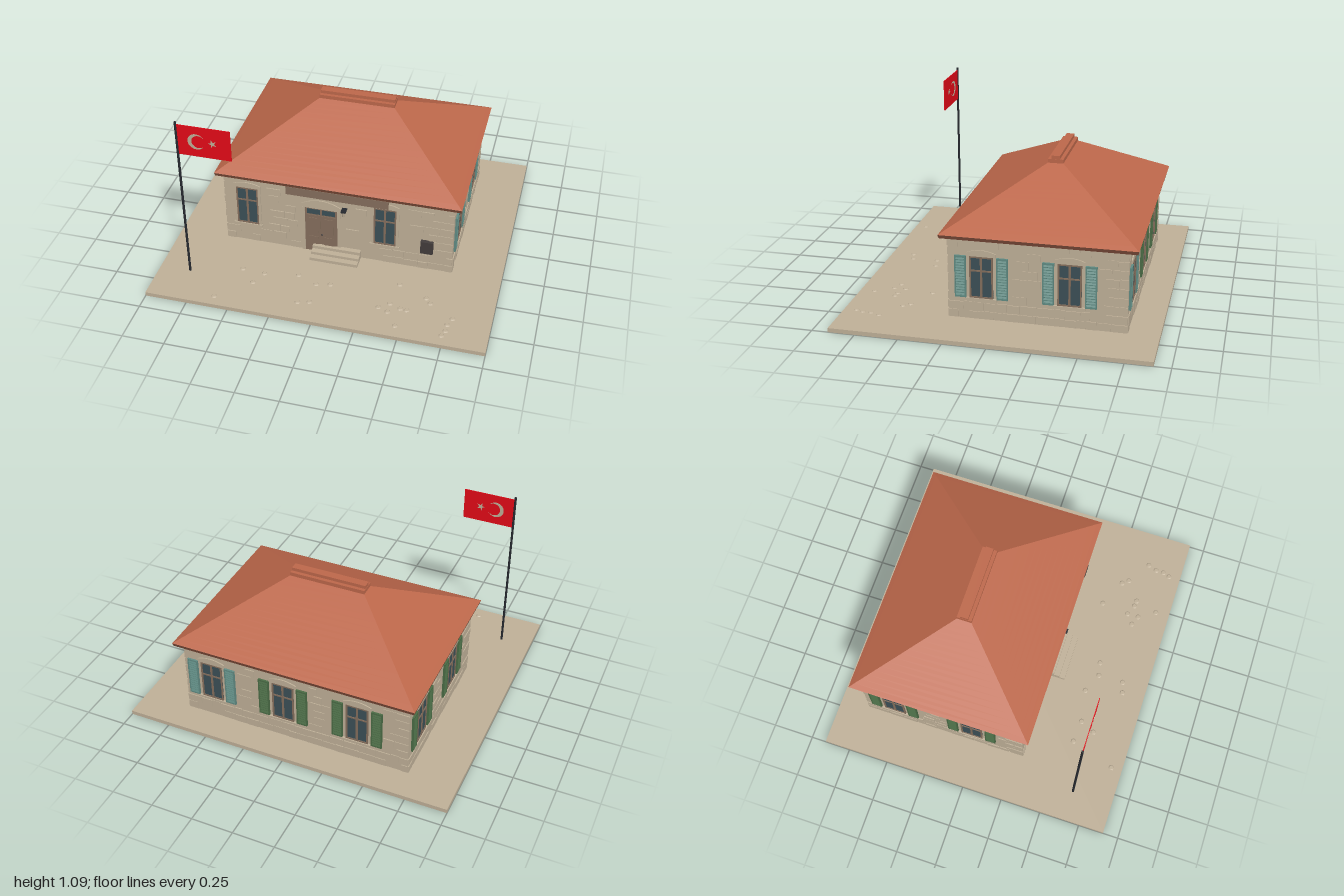
import * as THREE from 'three';
import { mergeGeometries } from 'three/addons/utils/BufferGeometryUtils.js';

const mat = (name, color) => Object.assign(new THREE.MeshStandardMaterial({ color }), { name });

export function createModel() {
  const stone = mat('stone', 0xbeaf97), tile = mat('roofTile', 0xbc674a), fascia = mat('fascia', 0x7a4a38);
  const wood = mat('wood', 0x846e5c), glass = mat('glass', 0x3b4f56), teal = mat('tealPaint', 0x608b83);
  const green = mat('greenPaint', 0x4a6b45), dark = mat('darkMetal', 0x423c3b);
  const iron = mat('poleMetal', 0x25282e), red = mat('flagRed', 0xe30a17);
  const model = new THREE.Group();

  let seed = 7;
  const rand = (a, b) => {
    seed = (seed * 16807) % 2147483647;
    return a + (b - a) * seed / 2147483647;
  };
  const add = (parent, name, geo, material, x = 0, y = 0, z = 0) => {
    const m = new THREE.Mesh(geo, material);
    m.name = name;
    m.position.set(x, y, z);
    parent.add(m);
    return m;
  };
  // Box given by its limits on each axis
  const boxGeo = (x0, x1, y0, y1, z0, z1) =>
    new THREE.BoxGeometry(x1 - x0, y1 - y0, z1 - z0).translate((x0 + x1) / 2, (y0 + y1) / 2, (z0 + z1) / 2);
  const box = (parent, name, material, ...b) => add(parent, name, boxGeo(...b), material);
  const extrude = (shape, depth) =>
    new THREE.ExtrudeGeometry(shape, { depth, bevelEnabled: false, curveSegments: 16 });
  // Box tapering from a lower to an upper rectangle, standing on its base
  const frustum = (w0, d0, w1, d1, h) => {
    const g = new THREE.BoxGeometry(w0, h, d0).translate(0, h / 2, 0), p = g.attributes.position;
    for (let i = 0; i < p.count; i++)
      if (p.getY(i) > h / 2) p.setXYZ(i, p.getX(i) * w1 / w0, h, p.getZ(i) * d1 / d0);
    g.computeVertexNormals();
    return g;
  };

  // Ground slab and wall core
  const zc = -0.2175;
  box(model, 'ground', stone, -1, 1, 0, 0.025, -0.905, 0.905);
  box(model, 'walls', stone, -0.7, 0.7, 0.025, 0.512, -0.725, 0.29);
  const pebbles = [];
  for (let i = 0; i < 22; i++) {
    const x = rand(-0.6, 0.87), z = rand(0.45, 0.87);
    pebbles.push(new THREE.CylinderGeometry(0.012, 0.018, 0.005, 7).translate(x, 0.0275, z));
  }
  add(model, 'groundPebbles', mergeGeometries(pebbles), stone);

  // One wall face: local x along the wall, z outward
  const face = (name, x, z, turn) => {
    const g = new THREE.Group();
    g.name = name;
    g.position.set(x, 0, z);
    g.rotation.y = turn;
    model.add(g);
    return g;
  };

  // Coursed stones that leave the openings [x0, x1, y0, y1] free
  const masonry = (parent, width, openings, density) => {
    const parts = [], h = 0.482 / 9;
    for (let row = 0; row < 9; row++) {
      const y0 = 0.027 + row * h, y1 = y0 + h - 0.005;
      let x = -width / 2;
      while (x < width / 2 - 0.01) {
        const edge = x === -width / 2;
        let w = edge ? (row % 2 ? 0.09 : 0.06) : rand(0.05, 0.1);
        if (x + w > width / 2 - 0.035) w = width / 2 - x;
        const end = x + w >= width / 2 - 1e-6, x0 = x, x1 = x + w - (end ? 0 : 0.005);
        const blocked = openings.some(o => x1 > o[0] && x0 < o[1] && y1 > o[2] && y0 < o[3]);
        const keep = rand(0, 1) < density, depth = rand(0.003, 0.007);
        if (!blocked && (keep || edge || end))
          parts.push(boxGeo(x0, x1, y0, y1 - rand(0, 0.006), -0.005, depth));
        x += w;
      }
    }
    add(parent, 'wallStones', mergeGeometries(parts), stone);
  };

  // Low arched stone head over an opening
  const archHead = (parent, cx, w, y, side, rise) => {
    const s = new THREE.Shape();
    s.moveTo(-w / 2, 0);
    s.lineTo(w / 2, 0);
    s.lineTo(w / 2, side);
    s.quadraticCurveTo(0, side + rise * 2, -w / 2, side);
    add(parent, 'archHead', extrude(s, 0.007), stone, cx, y, 0);
  };

  const windowUnit = (parent, cx, y0, y1, paint) => {
    const g = new THREE.Group(), w = 0.0675, t = 0.009;
    g.name = 'window';
    g.position.x = cx;
    parent.add(g);
    box(g, 'windowGlass', glass, -w, w, y0, y1, -0.002, 0.003);
    for (const s of [-1, 1]) box(g, 'windowJamb', wood, s * w - (s > 0 ? t : 0), s * w + (s > 0 ? 0 : t), y0, y1, 0, 0.008);
    box(g, 'windowMullion', wood, -0.006, 0.006, y0, y1, 0, 0.008);
    const mid = y0 + (y1 - y0) * 0.64;
    for (const y of [y0, mid, y1 - t]) box(g, 'windowRail', wood, -w, w, y, y + t, 0, 0.0075);
    box(g, 'windowSill', stone, -0.09, 0.09, y0 - 0.014, y0, 0, 0.014);
    archHead(g, 0, 0.17, y1, 0.02, 0.018);
    if (!paint) {
      for (const s of [-1, 1]) box(g, 'windowSurround', stone, s * 0.076 - 0.0085, s * 0.076 + 0.0085, y0, y1, 0, 0.007);
      return;
    }
    // Louvred shutters folded open on both sides
    for (const s of [-1, 1]) {
      const sh = new THREE.Group();
      sh.name = 'shutter';
      sh.position.x = s * 0.12;
      g.add(sh);
      box(sh, 'shutterPanel', paint, -0.0325, 0.0325, y0, y1, 0, 0.007);
      for (const e of [-1, 1]) {
        box(sh, 'shutterStile', paint, e * 0.029 - 0.0035, e * 0.029 + 0.0035, y0, y1, 0, 0.012);
        const ry = e < 0 ? y0 : y1 - 0.01;
        box(sh, 'shutterRail', paint, -0.0325, 0.0325, ry, ry + 0.01, 0, 0.0118);
      }
      const slats = [];
      for (let i = 0; i < 14; i++)
        slats.push(new THREE.BoxGeometry(0.052, 0.012, 0.003).rotateX(-0.45)
          .translate(0, y0 + 0.018 + i * (y1 - y0 - 0.036) / 13, 0.0075));
      add(sh, 'shutterSlats', mergeGeometries(slats), paint);
    }
  };

  // Side and back faces with shuttered windows
  const shuttered = (g, width, windows) => {
    for (const [cx, paint] of windows) windowUnit(g, cx, 0.155, 0.405, paint);
    masonry(g, width, windows.map(([cx]) => [cx - 0.155, cx + 0.155, 0.14, 0.44]), 0.85);
  };
  shuttered(face('leftWall', 0.7, zc, Math.PI / 2), 1.015, [[-0.3175, teal], [0.1825, teal]]);
  shuttered(face('rightWall', -0.7, zc, -Math.PI / 2), 1.015, [[-0.3175, green], [0.1825, green]]);
  shuttered(face('backWall', 0, -0.725, Math.PI), 1.4, [[-0.53, teal], [-0.07, green], [0.39, green]]);

  // Front face
  const front = face('frontWall', 0, 0.29, 0);
  for (const cx of [-0.56, 0.29]) windowUnit(front, cx, 0.16, 0.425);
  masonry(front, 1.4, [[-0.655, -0.465, 0.145, 0.46], [0.195, 0.385, 0.145, 0.46],
    [-0.225, 0.02, 0, 0.42], [-0.315, 0.31, 0.43, 0.485]], 0.6);

  // Double door with glazed transom and stone surround
  const door = new THREE.Group();
  door.name = 'door';
  door.position.x = -0.1;
  front.add(door);
  box(door, 'doorFrame', wood, -0.1, 0.1, 0.025, 0.35, 0, 0.004);
  for (const s of [-1, 1]) {
    const c = s * 0.047;
    box(door, 'doorLeaf', wood, c - 0.044, c + 0.044, 0.03, 0.3, 0, 0.007);
    for (const [a, b] of [[0.05, 0.14], [0.17, 0.28]]) box(door, 'doorPanel', wood, c - 0.028, c + 0.028, a, b, 0, 0.01);
    box(door, 'transomGlass', glass, c - 0.04, c + 0.04, 0.308, 0.343, 0, 0.006);
    box(door, 'doorSurround', stone, s * 0.111 - 0.011, s * 0.111 + 0.011, 0.025, 0.35, 0, 0.008);
  }
  add(door, 'doorKnob', new THREE.SphereGeometry(0.006, 10, 8), dark, 0.006, 0.16, 0.01);
  archHead(door, 0, 0.244, 0.35, 0.025, 0.036);

  // Steps
  for (const [y, z] of [[0.045, 0.39], [0.063, 0.355], [0.083, 0.32]])
    box(model, 'step', stone, -0.15, 0.145, 0.025, y, 0.285, z);

  // Blank board, lantern and notice box
  box(front, 'board', wood, -0.315, 0.31, 0.43, 0.485, 0, 0.012);
  box(front, 'lampBracket', iron, 0.03, 0.06, 0.378, 0.385, 0, 0.045);
  add(front, 'lantern', new THREE.CylinderGeometry(0.012, 0.008, 0.034, 6), stone, 0.045, 0.361, 0.03);
  box(front, 'noticeBox', dark, 0.51, 0.585, 0.155, 0.24, 0, 0.025);

  // Hipped roof: eaves board, lapped tile courses and ridge cap
  const roof = new THREE.Group();
  roof.name = 'roof';
  roof.position.z = zc - 0.005;
  model.add(roof);
  add(roof, 'eavesBoard', frustum(1.48, 1.105, 1.49, 1.115, 0.02), fascia, 0, 0.51, 0);
  const N = 16, courses = [], lap = 0.003;
  for (let i = 0; i < N; i++) {
    const a = i / N, b = (i + 1) / N, W = t => 1.49 - 1.025 * t, D = t => 1.115 - 1.025 * t;
    const l = i ? lap : 0;
    courses.push(frustum(W(a) + l, D(a) + l, W(b), D(b), 0.292 / N).translate(0, 0.53 + 0.292 * a, 0));
  }
  add(roof, 'tileCourses', mergeGeometries(courses), tile);
  box(roof, 'ridgeBase', tile, -0.232, 0.232, 0.82, 0.845, -0.045, 0.045);
  box(roof, 'ridgeCap', tile, -0.23, 0.23, 0.845, 0.865, -0.024, 0.024);

  // Flagpole and flag with crescent and star
  add(model, 'flagpole', new THREE.CylinderGeometry(0.007, 0.007, 1.065, 12), iron, -0.815, 0.5575, 0.655);
  box(model, 'flag', red, -0.808, -0.5, 0.88, 1.075, 0.653, 0.657);
  const moon = new THREE.Shape();
  moon.absarc(0, 0, 0.05, 0.566, Math.PI * 2 - 0.566, false);
  moon.absarc(0.0125, 0, 0.04, Math.PI * 2 - 0.734, 0.734, true);
  add(model, 'crescent', extrude(moon, 0.006), stone, -0.7, 0.978, 0.652);
  const star = new THREE.Shape(Array.from({ length: 10 }, (_, i) => {
    const r = i % 2 ? 0.01 : 0.026, a = Math.PI + i * Math.PI / 5;
    return new THREE.Vector2(r * Math.cos(a), r * Math.sin(a));
  }));
  add(model, 'star', extrude(star, 0.006), stone, -0.606, 0.978, 0.652);

  return model;
}
